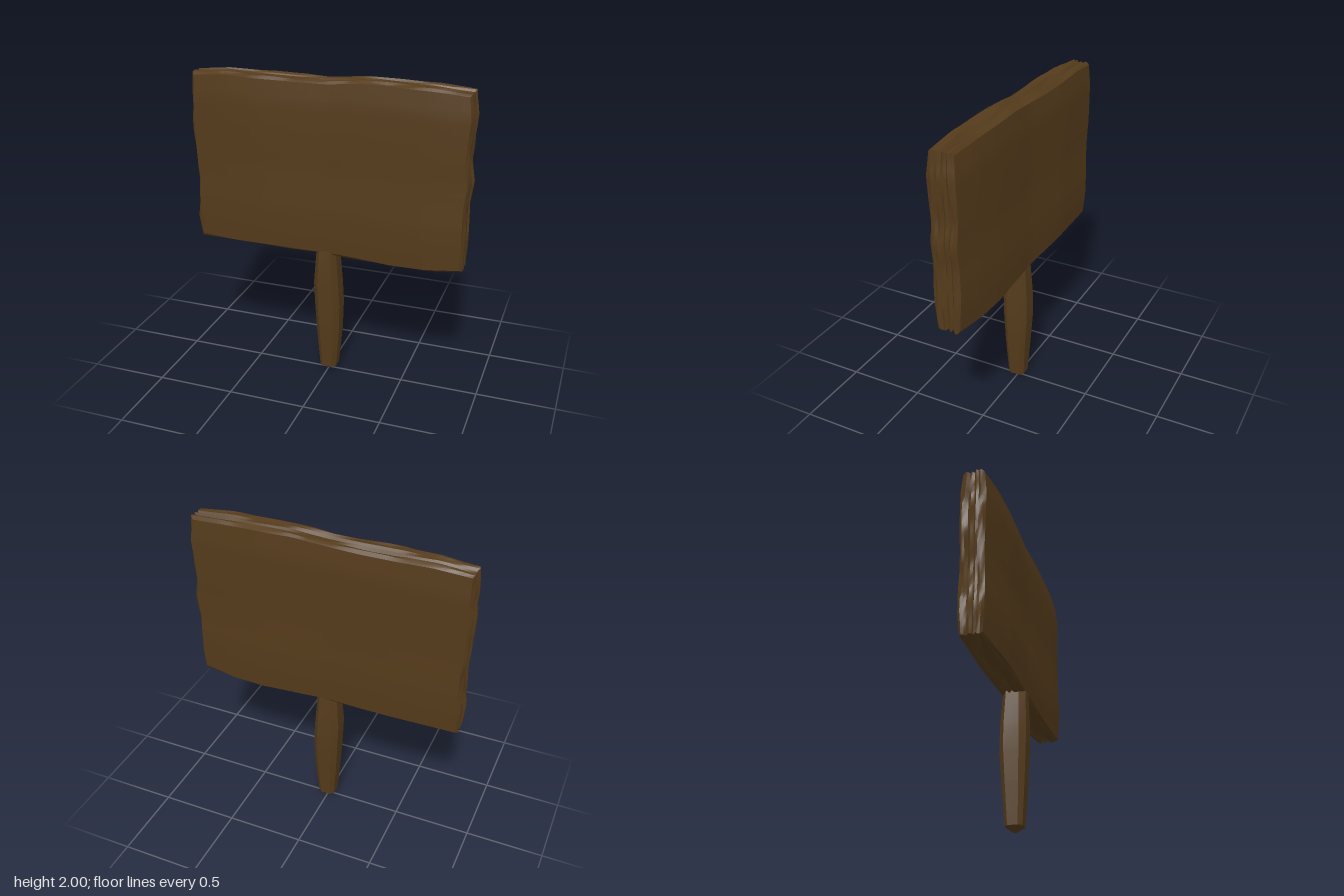
import * as THREE from 'three';
import { toCreasedNormals } from 'three/addons/utils/BufferGeometryUtils.js';

// Reads an evenly spaced table at s in -1..1
function sample(table, s) {
  const f = THREE.MathUtils.clamp((s + 1) / 2, 0, 1) * (table.length - 1);
  const i = Math.min(Math.floor(f), table.length - 2);
  return THREE.MathUtils.lerp(table[i], table[i + 1], f - i);
}

const wood = new THREE.MeshStandardMaterial({ color: 0x553b1b, roughness: 0.9 });

// Outline of the board
const TOP = [1.965, 1.983, 1.98, 1.978, 1.98, 1.998, 1.996, 1.99, 1.975];
const BOTTOM = [0.865, 0.865, 0.868, 0.867, 0.865, 0.858, 0.846, 0.85, 0.875];
const LEFT = [-0.875, -0.885, -0.878, -0.873, -0.883, -0.888, -0.886, -0.885, -0.88];
const RIGHT = [0.87, 0.874, 0.872, 0.87, 0.886, 0.868, 0.876, 0.886, 0.868];
// Bowing of the two faces
const FRONT = [0.072, 0.088, 0.098, 0.095, 0.089, 0.092, 0.094, 0.096, 0.088];
const BACK = [0.088, 0.096, 0.104, 0.1, 0.093, 0.101, 0.106, 0.1, 0.086];
const BOW = [-0.012, -0.003, 0, -0.004, -0.006, -0.002, 0, 0, -0.012];
// Depth of the grooves in the split edges, from back to front
const GROOVE = [0.018, 0.004, 0.002, 0.016, 0.003, 0.015, 0.001, 0.005, 0.002, 0.007, 0.018];

function createBoard() {
  const geo = new THREE.BoxGeometry(2, 2, 2, 32, 24, 10);
  const p = geo.attributes.position;
  const groove = (t, along, side) => {
    const layer = Math.round((t + 1) * 5);
    const rim = layer === 0 || layer === 10;
    const wave = Math.sin(along * 5 + layer * 2.3 + side) + Math.sin(along * 11 + layer * 4.1 + side);
    return Math.max(0, sample(GROOVE, t) + wave * (rim ? 0.001 : 0.004));
  };
  for (let i = 0; i < p.count; i++) {
    const u = p.getX(i), v = p.getY(i), t = p.getZ(i);
    const x = THREE.MathUtils.lerp(
      sample(LEFT, v) + groove(t, v, 1), sample(RIGHT, v) - groove(t, v, 2), (u + 1) / 2);
    const y = THREE.MathUtils.lerp(
      sample(BOTTOM, u) + groove(t, u, 3), sample(TOP, u) - groove(t, u, 4), (v + 1) / 2);
    const half = sample(t > 0 ? FRONT : BACK, u) + sample(BOW, v);
    p.setXYZ(i, x, y, t * half);
  }
  const board = new THREE.Mesh(toCreasedNormals(geo, 0.5), wood);
  board.name = 'board';
  return board;
}

function createPost() {
  // Rings: y, then the reach to -x, +x, -z and +z
  const rings = [
    [0.0, 0.008, 0.008, 0.008, 0.008],
    [0.035, 0.053, 0.058, 0.056, 0.054],
    [0.3, 0.072, 0.08, 0.074, 0.07],
    [0.5, 0.083, 0.084, 0.086, 0.08],
    [0.65, 0.088, 0.076, 0.082, 0.085],
    [0.89, 0.07, 0.058, 0.066, 0.078],
    [1.0, 0.06, 0.055, 0.06, 0.06],
  ];
  // Square section with cut corners
  const section = [[1, 0.55], [0.6, 1], [-0.6, 1], [-1, 0.55], [-1, -0.6], [-0.55, -1], [0.6, -1], [1, -0.6]];
  const n = section.length, pos = [], index = [];
  for (const [y, l, r, b, f] of rings)
    for (const [x, z] of section) pos.push(x * (x > 0 ? r : l), y, z * (z > 0 ? f : b));
  for (let k = 0; k < rings.length - 1; k++)
    for (let i = 0; i < n; i++) {
      const a = k * n + i, b = k * n + (i + 1) % n;
      index.push(a, a + n, b, b, a + n, b + n);
    }
  // Foot
  for (let i = 1; i < n - 1; i++) index.push(0, i, i + 1);
  const geo = new THREE.BufferGeometry();
  geo.setAttribute('position', new THREE.Float32BufferAttribute(pos, 3));
  geo.setIndex(index);
  const post = new THREE.Mesh(toCreasedNormals(geo, 0.45), wood);
  post.name = 'post';
  return post;
}

export function createModel() {
  const sign = new THREE.Group();
  sign.name = 'woodenSign';
  sign.add(createBoard(), createPost());
  return sign;
}
